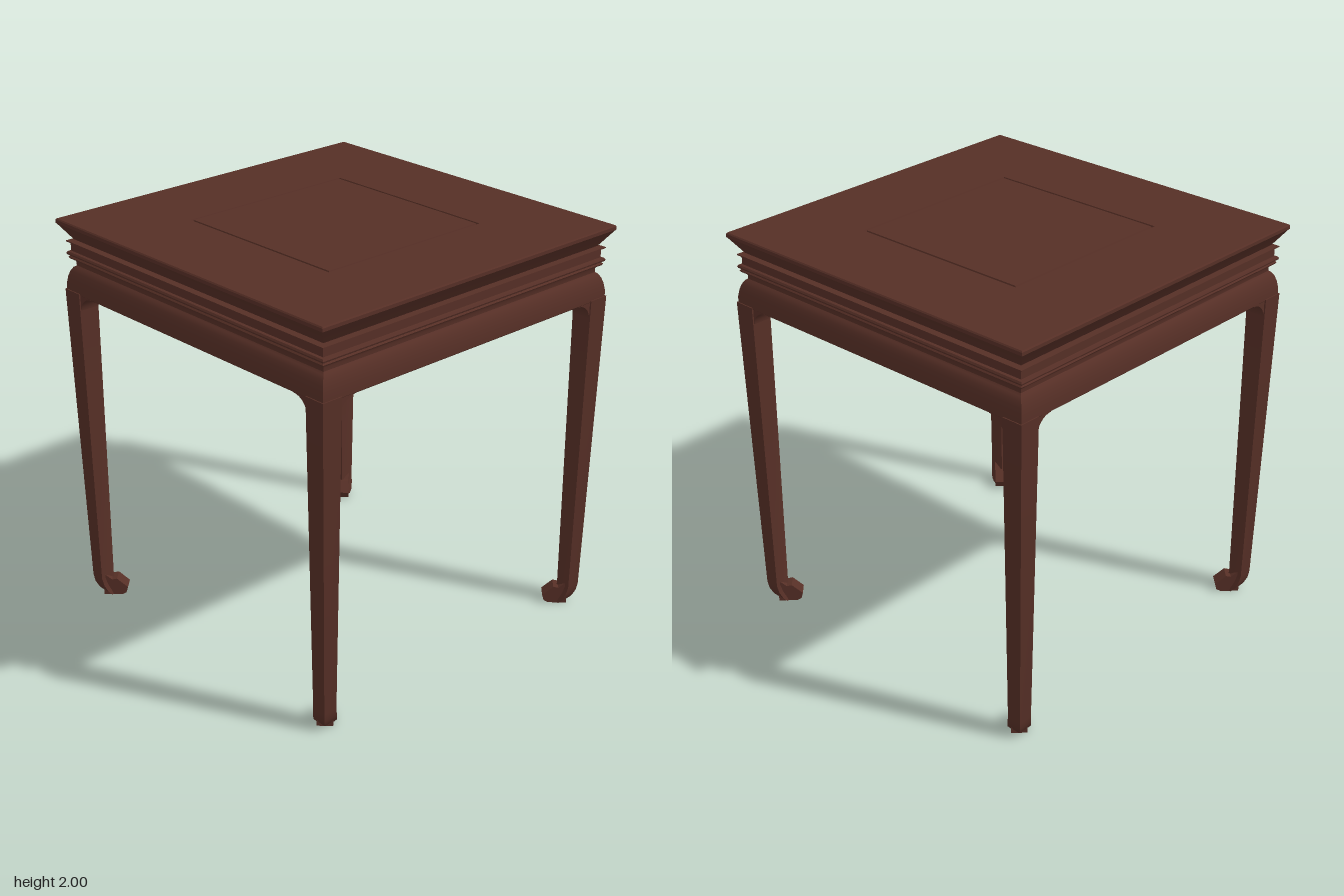
import * as THREE from 'three';
import { toCreasedNormals } from 'three/addons/utils/BufferGeometryUtils.js';

const wood = new THREE.MeshStandardMaterial({ color: 0x562f26 });
wood.name = 'dark red wood';

function part(name, geometry) {
  const mesh = new THREE.Mesh(geometry, wood);
  mesh.name = name;
  return mesh;
}

// Square moulding: a profile of [half width, height] turned with four mitred corners
function squareTurned(profile) {
  const points = profile.map(([half, y]) => new THREE.Vector2(half * Math.SQRT2, y));
  return toCreasedNormals(new THREE.LatheGeometry(points, 4, Math.PI / 4), 0.6);
}

// Corner post: square sections of [height, outer edge, inner edge], bottom to top
function cornerPost(sections) {
  const rings = sections.map(([y, a, b]) => [[a, y, a], [a, y, b], [b, y, b], [b, y, a]]);
  const out = [];
  const quad = (p, q, r, s) => out.push(...p, ...q, ...r, ...p, ...r, ...s);
  for (let i = 0; i < rings.length - 1; i++) {
    for (let j = 0; j < 4; j++) {
      const k = (j + 1) % 4;
      quad(rings[i][j], rings[i][k], rings[i + 1][k], rings[i + 1][j]);
    }
  }
  const top = rings[rings.length - 1];
  quad(...top);
  quad(...[...rings[0]].reverse());
  const geometry = new THREE.BufferGeometry();
  geometry.setAttribute('position', new THREE.Float32BufferAttribute(out, 3));
  geometry.computeVertexNormals();
  return toCreasedNormals(geometry, 0.5);
}

// Upturned toe, drawn in the diagonal plane of the corner
function toeGeometry() {
  const outline = [[0.83, 0], [0.765, 0], [0.75, 0.012], [0.744, 0.042], [0.782, 0.09], [0.8, 0.085], [0.83, 0.12]];
  const shape = new THREE.Shape(outline.map(([c, y]) => new THREE.Vector2(c * Math.SQRT2, y)));
  const width = 0.075;
  return new THREE.ExtrudeGeometry(shape, { depth: width, bevelEnabled: false })
    .translate(0, 0, -width / 2)
    .rotateY(-Math.PI / 4);
}

// Rounded bracket between leg and apron; s is the side it stands on
function bracketGeometry(s) {
  const points = [];
  for (let i = 0; i <= 8; i++) {
    const t = (i / 8) * Math.PI / 2;
    points.push(new THREE.Vector2(s * (0.715 + 0.083 * Math.cos(t)), 1.555 + 0.083 * Math.sin(t)));
  }
  points.push(new THREE.Vector2(s * 0.715, 1.645), new THREE.Vector2(s * 0.83, 1.645), new THREE.Vector2(s * 0.83, 1.555));
  const geometry = new THREE.ExtrudeGeometry(new THREE.Shape(points), { depth: 0.1, bevelEnabled: false });
  return toCreasedNormals(geometry.translate(0, 0, 0.797), 0.5);
}

export function createModel() {
  const table = new THREE.Group();
  table.name = 'squareTable';

  // Top board with flared edge and a shallow square groove
  table.add(part('tableTop', squareTurned([
    [0, 1.898], [0.866, 1.898], [0.918, 1.972], [0.924, 1.978], [0.924, 1.994], [0.919, 2],
    [0.476, 2], [0.473, 1.992], [0.467, 1.992], [0.464, 2], [0, 2],
  ])));

  // Recessed waist with a thin lip above and a double bead below
  table.add(part('waist', squareTurned([
    [0, 1.76], [0.862, 1.76], [0.862, 1.785], [0.868, 1.798], [0.884, 1.803], [0.888, 1.81],
    [0.882, 1.817], [0.892, 1.823], [0.895, 1.831], [0.89, 1.839], [0.878, 1.842],
    [0.878, 1.886], [0.893, 1.887], [0.893, 1.892], [0, 1.892],
  ])));

  // Swelling apron, closed underneath
  table.add(part('apron', squareTurned([
    [0, 1.638], [0.894, 1.638], [0.9, 1.644], [0.899, 1.68], [0.893, 1.715], [0.884, 1.742],
    [0.873, 1.76], [0.862, 1.768], [0.858, 1.775], [0, 1.775],
  ])));

  // Tapered legs, toes and brackets, one set for each corner
  const post = cornerPost([
    [0, 0.832, 0.77], [0.02, 0.85, 0.775], [0.055, 0.865, 0.788], [0.095, 0.871, 0.797], [1.65, 0.905, 0.797],
  ]);
  const toe = toeGeometry();
  const brackets = [bracketGeometry(-1), bracketGeometry(1)];
  for (let i = 0; i < 4; i++) {
    const corner = new THREE.Group();
    corner.name = 'cornerLeg' + (i + 1);
    corner.rotation.y = i * Math.PI / 2;
    corner.add(part('leg', post), part('toe', toe));
    brackets.forEach((geometry) => corner.add(part('bracket', geometry)));
    table.add(corner);
  }
  return table;
}
